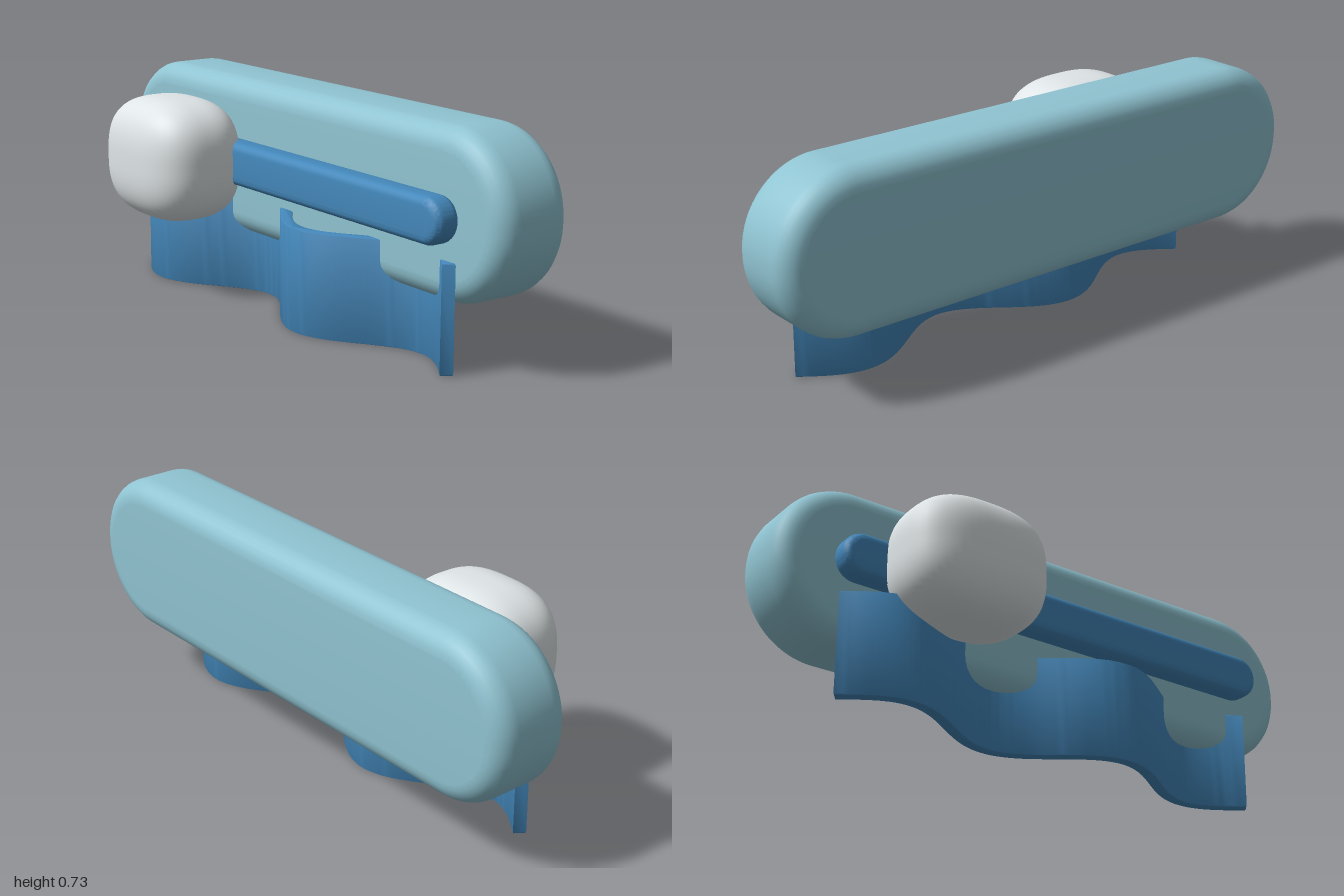
import * as THREE from 'three';
import { toCreasedNormals } from 'three/addons/utils/BufferGeometryUtils.js';

const paint = (color) => new THREE.MeshStandardMaterial({ color });

// Rounded bar outline in x-y, extruded along z with a soft bevel on both faces
function roundedBar(halfW, y0, y1, z0, z1, radius, bevel) {
  const w = halfW - bevel, b = y0 + bevel, t = y1 - bevel, r = radius - bevel;
  const s = new THREE.Shape();
  s.moveTo(-w + r, b);
  s.lineTo(w - r, b);
  s.absarc(w - r, b + r, r, -Math.PI / 2, 0);
  s.absarc(w - r, t - r, r, 0, Math.PI / 2);
  s.absarc(-w + r, t - r, r, Math.PI / 2, Math.PI);
  s.absarc(-w + r, b + r, r, Math.PI, Math.PI * 1.5);
  const g = new THREE.ExtrudeGeometry(s, {
    depth: z1 - z0 - 2 * bevel, bevelThickness: bevel, bevelSize: bevel,
    bevelSegments: 6, curveSegments: 12,
  });
  g.translate(0, 0, z0 + bevel);
  return toCreasedNormals(g, 0.6);
}

// Wavy strip: a cosine centre line thickened along its normals, extruded upwards
function wavyStrip(height) {
  const mid = -0.018, amp = 0.0925, k = (2 * Math.PI) / 0.8, half = 0.02, bevel = 0.005, n = 96;
  const front = [], back = [];
  for (let i = 0; i <= n; i++) {
    const x = -0.795 + (1.59 * i) / n, a = k * (x - 0.2);
    const z = mid + amp * Math.cos(a);
    const normal = new THREE.Vector2(amp * k * Math.sin(a), 1).normalize().multiplyScalar(half - bevel);
    front.push(new THREE.Vector2(x + normal.x, -(z + normal.y)));
    back.unshift(new THREE.Vector2(x - normal.x, -(z - normal.y)));
  }
  const g = new THREE.ExtrudeGeometry(new THREE.Shape([...front, ...back]), {
    depth: height - 2 * bevel, bevelThickness: bevel, bevelSize: bevel, bevelSegments: 2,
  });
  g.translate(0, 0, bevel);
  g.rotateX(-Math.PI / 2);
  return toCreasedNormals(g, 0.6);
}

// Soft block: a sphere pushed out to a superellipsoid, with exact normals
function softBlock(a, b, c, power) {
  const g = new THREE.SphereGeometry(1, 64, 48);
  const p = g.attributes.position, nor = g.attributes.normal, v = new THREE.Vector3();
  const grad = (t) => Math.sign(t) * Math.abs(t) ** (power - 1);
  for (let i = 0; i < p.count; i++) {
    v.fromBufferAttribute(p, i);
    const len = Math.abs(v.x) ** power + Math.abs(v.y) ** power + Math.abs(v.z) ** power;
    v.multiplyScalar(len ** (-1 / power));
    p.setXYZ(i, v.x * a, v.y * b, v.z * c);
    v.set(grad(v.x) / a, grad(v.y) / b, grad(v.z) / c).normalize();
    nor.setXYZ(i, v.x, v.y, v.z);
  }
  return g;
}

export function createModel() {
  const model = new THREE.Group();
  const add = (name, geometry, material) => {
    const mesh = new THREE.Mesh(geometry, material);
    mesh.name = name;
    model.add(mesh);
    return mesh;
  };
  const blue = paint(0x4488bb);

  // Thick rounded back plate
  add('body', roundedBar(1, 0.2, 0.727, -0.31, -0.037, 0.258, 0.07), paint(0x90c4d2));
  // Slim rail set into the front face
  add('rail', roundedBar(0.82, 0.39, 0.535, -0.045, 0.045, 0.072, 0.028), blue);
  // Wavy skirt hanging under the plate
  add('wavySkirt', wavyStrip(0.338), blue);
  // Sliding knob on the rail
  add('knob', softBlock(0.244, 0.206, 0.18, 2.8), paint(0xdfe5e7)).position.set(-0.447, 0.463, 0.13);

  return model;
}
